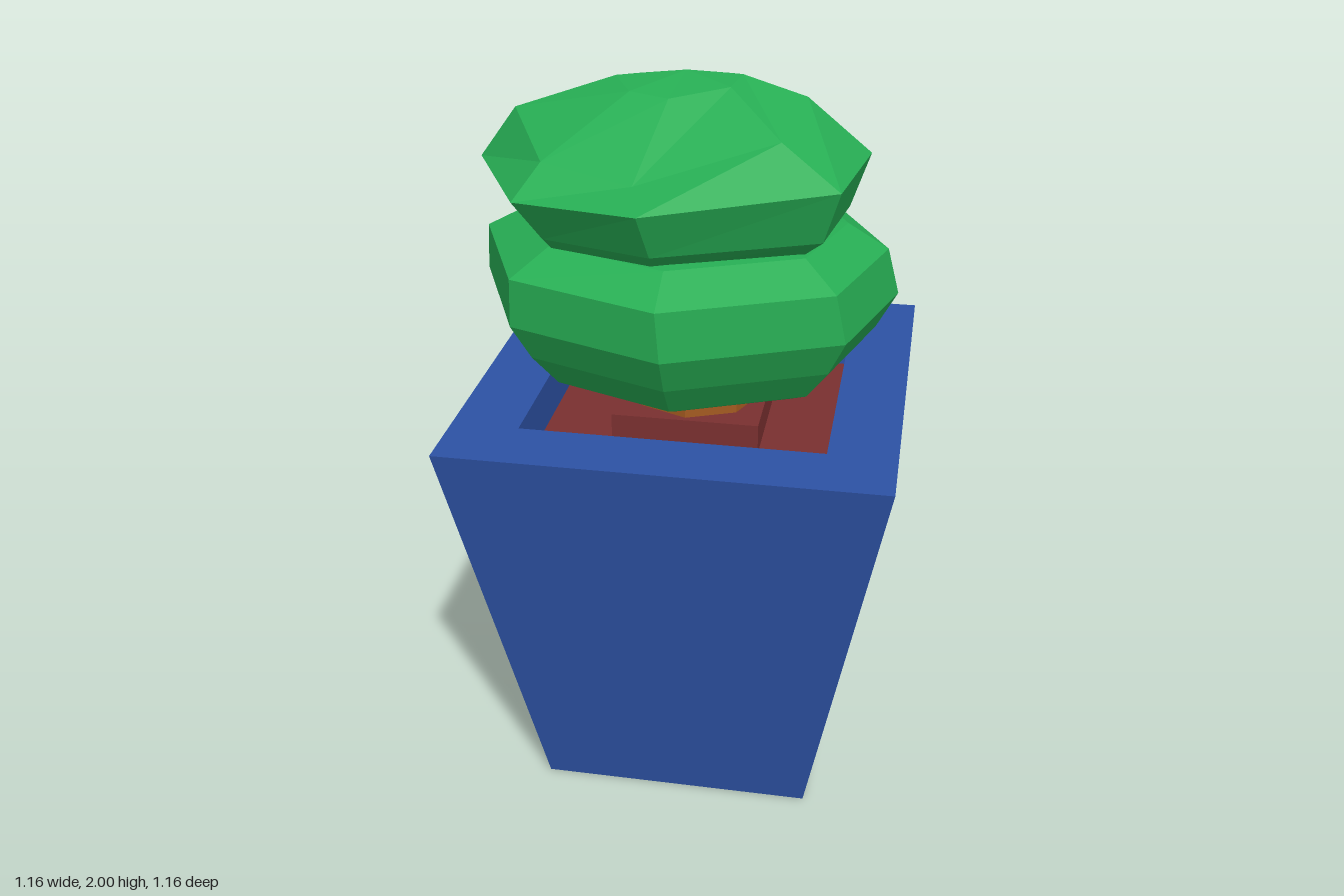
import * as THREE from 'three';

const paint = (name, color) => {
  const m = new THREE.MeshStandardMaterial({ color });
  m.name = name;
  return m;
};

// Give every face its own flat normal
function faceted(geometry) {
  const g = geometry.index ? geometry.toNonIndexed() : geometry;
  g.computeVertexNormals();
  return g;
}

// Loft an uneven outline of [x, z] points through rings, bottom to top.
// Ring: scale, y, x offset, z offset, slope along x, droop with z squared.
function loft(outline, rings, bottomY, topY) {
  const n = outline.length;
  const pos = [];
  const index = [];
  for (const [s, y, dx = 0, dz = 0, slope = 0, droop = 0] of rings) {
    for (const [ox, oz] of outline) {
      const x = ox * s + dx;
      const z = oz * s + dz;
      pos.push(x, y + slope * x - droop * z * z, z);
    }
  }
  const last = rings.length - 1;
  const bottom = rings.length * n;
  const [, , tx = 0, tz = 0] = rings[last];
  pos.push(0, bottomY, 0, tx, topY, tz);
  for (let i = 0; i < n; i++) {
    const j = (i + 1) % n;
    for (let r = 0; r < last; r++) {
      const a = r * n + i, b = r * n + j;
      index.push(b, a, a + n, b, a + n, b + n);
    }
    index.push(bottom, i, j, bottom + 1, last * n + j, last * n + i);
  }
  const g = new THREE.BufferGeometry();
  g.setAttribute('position', new THREE.Float32BufferAttribute(pos, 3));
  g.setIndex(index);
  return faceted(g);
}

export function createModel() {
  const group = new THREE.Group();
  const blue = paint('blue glaze', 0x2d52a5);
  const red = paint('red soil', 0x7a3030);
  const brown = paint('brown bark', 0xa35a20);
  const green = paint('green leaves', 0x27ae54);

  const add = (name, geometry, material, y = 0) => {
    const mesh = new THREE.Mesh(geometry, material);
    mesh.name = name;
    mesh.position.y = y;
    group.add(mesh);
  };

  // Square tapered pot with a thick rim and a recess
  const profile = [[0, 0], [0.375, 0], [0.58, 1.16], [0.4, 1.16], [0.4, 1.0]]
    .map(([half, y]) => new THREE.Vector2(half * Math.SQRT2, y));
  add('pot', faceted(new THREE.LatheGeometry(profile, 4, Math.PI / 4)), blue);

  // Soil and the raised block around the trunk
  add('soil', new THREE.BoxGeometry(0.8, 0.06, 0.8), red, 1.0);
  add('soilMound', new THREE.BoxGeometry(0.4, 0.1, 0.4), red, 1.065);

  // Eight-sided trunk
  add('trunk', faceted(new THREE.CylinderGeometry(0.185, 0.185, 0.24, 8)), brown, 1.14);

  // Wide lower clump of leaves
  const lower = [[0.54, 0], [0.43, 0.35], [0, 0.535], [-0.41, 0.385],
    [-0.58, 0], [-0.4, -0.36], [0, -0.45], [0.39, -0.29]];
  add('lowerFoliage', loft(lower, [
    [0.3, 1.195], [0.66, 1.22], [0.77, 1.25], [0.9, 1.34], [1, 1.44],
    [0.96, 1.57, -0.01, 0.02], [0.76, 1.63, -0.01, 0.01],
  ], 1.195, 1.66), green);

  // Tilted upper clump of leaves
  const upper = [[0.45, 0], [0.4, 0.32], [-0.06, 0.49], [-0.39, 0.38],
    [-0.58, 0], [-0.43, -0.28], [0, -0.42], [0.29, -0.35]];
  add('upperFoliage', loft(upper, [
    [0.4, 1.57], [0.78, 1.62, 0, 0, 0.03], [0.87, 1.665, 0.01, 0, 0.02],
    [1, 1.79, 0, 0, 0.06], [0.74, 1.93, -0.05, 0, 0.08, 0.8],
    [0.32, 1.99, -0.03, -0.03, 0.05, 1.3],
  ], 1.57, 2), green);

  return group;
}
